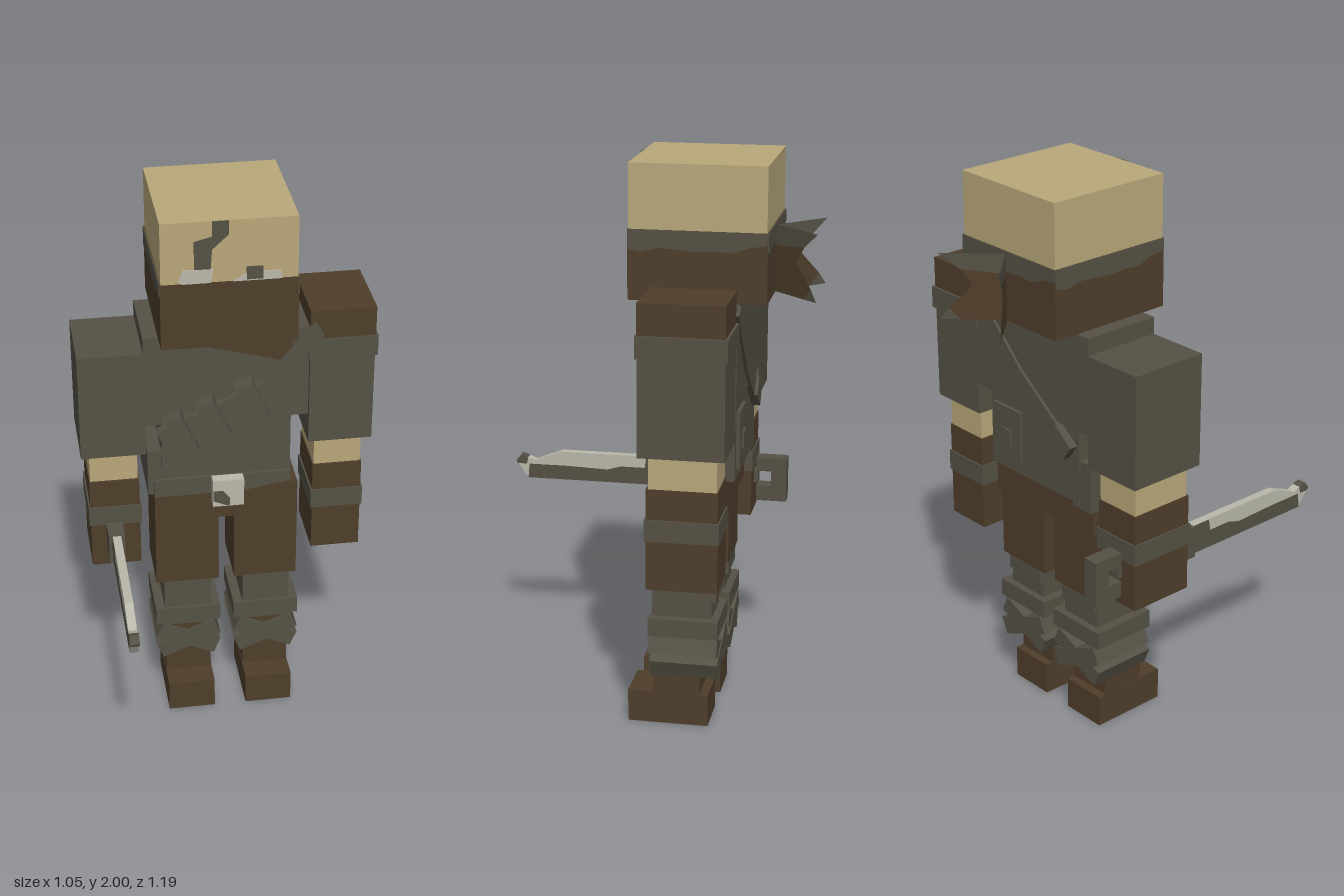
import * as THREE from 'three';

const paint = (name, color) => {
  const m = new THREE.MeshStandardMaterial({ color });
  m.name = name;
  return m;
};

export function createModel() {
  const tan = paint('tan skin', 0xb9a87b);
  const brown = paint('brown leather', 0x4f3e2b);
  const grey = paint('grey cloth', 0x555145);
  const steel = paint('pale steel', 0xbab8aa);
  const brown2 = paint('brown ribbon', 0x4f3e2b);
  const grey2 = paint('grey ribbon', 0x555145);
  brown2.side = grey2.side = THREE.DoubleSide;

  const model = new THREE.Group();
  const add = (name, geo, mat, parent = model) => {
    const mesh = new THREE.Mesh(geo, mat);
    mesh.name = name;
    parent.add(mesh);
    return mesh;
  };
  // box from its limits
  const box = (name, mat, x0, x1, y0, y1, z0, z1) => {
    const m = add(name, new THREE.BoxGeometry(x1 - x0, y1 - y0, z1 - z0), mat);
    m.position.set((x0 + x1) / 2, (y0 + y1) / 2, (z0 + z1) / 2);
    return m;
  };
  const shapeOf = pts => new THREE.Shape(pts.map(p => new THREE.Vector2(...p)));
  // outline in x,y pushed out along z
  const slab = (name, mat, pts, z, depth, parent) => {
    const m = add(name, new THREE.ExtrudeGeometry(shapeOf(pts), { depth, bevelEnabled: false }), mat, parent);
    m.position.z = z;
    return m;
  };
  const rect = (x0, x1, y0, y1) => [[x0, y0], [x1, y0], [x1, y1], [x0, y1]];

  // head and mask
  box('head', tan, -0.242, 0.219, 1.77, 2, -0.432, 0.032);
  box('mask', brown, -0.245, 0.222, 1.54, 1.78, -0.435, 0.035);
  const wave = [[-0.234, 1.78], [-0.234, 1.715], [-0.19, 1.705], [-0.13, 1.72], [-0.06, 1.715], [0, 1.71],
    [0.06, 1.715], [0.12, 1.71], [0.17, 1.73], [0.234, 1.74], [0.234, 1.78]];
  [[0.222, -0.2, Math.PI / 2], [-0.245, -0.2, -Math.PI / 2], [-0.0115, -0.435, Math.PI]].forEach(([x, z, a]) => {
    const pivot = new THREE.Group();
    pivot.name = 'maskTrim';
    pivot.position.set(x, 0, z);
    pivot.rotation.y = a;
    model.add(pivot);
    slab('maskTrimPlate', grey, wave, 0, 0.003, pivot);
  });

  // face details
  slab('browMark', grey, [[-0.13, 1.83], [-0.075, 1.83], [-0.07, 1.9], [-0.015, 1.95], [-0.015, 2],
    [-0.07, 2], [-0.07, 1.945], [-0.13, 1.93]], 0.032, 0.004);
  slab('rightEye', steel, [[-0.185, 1.79], [-0.17, 1.78], [-0.075, 1.78], [-0.065, 1.83], [-0.17, 1.83]], 0.033, 0.004);
  slab('leftEye', steel, [[0, 1.78], [0.165, 1.78], [0.16, 1.81], [0.05, 1.81]], 0.033, 0.004);
  slab('leftPupil', grey, rect(0.045, 0.1, 1.785, 1.83), 0.033, 0.006);

  // knotted mask tails, spread in a V
  [-1, 1].forEach(s => {
    const tail = new THREE.Group();
    tail.name = 'maskTail';
    tail.position.set(0, 0, -0.435);
    tail.rotation.y = s > 0 ? Math.PI / 4 : Math.PI * 3 / 4;
    model.add(tail);
    add('tailCloth', new THREE.ShapeGeometry(shapeOf(
      [[0, 1.54], [0.15, 1.54], [0.19, 1.58], [0.11, 1.66], [0.15, 1.715], [0, 1.7]])), brown2, tail);
    add('tailTop', new THREE.ShapeGeometry(shapeOf([[0, 1.7], [0.15, 1.715], [0.22, 1.77], [0, 1.77]])), grey2, tail);
    add('tailTip', new THREE.ShapeGeometry(shapeOf([[0.15, 1.54], [0.22, 1.54], [0.19, 1.58]])), grey2, tail);
  });

  // torso, cape and collar
  box('torso', grey, -0.24, 0.22, 0.92, 1.5, -0.335, -0.06);
  box('shoulderCape', grey, -0.298, 0.28, 1.195, 1.54, -0.345, -0.055);
  slab('collarOpening', brown, [[-0.24, 1.54], [0.22, 1.41], [0.22, 1.54]], -0.056, 0.005);
  box('hipFlap', grey, -0.29, -0.2, 0.9, 1.08, -0.33, -0.07);

  // bandolier with pouches
  slab('frontStrap', grey, [[0.1, 1.33], [0.14, 1.31], [0.33, 1.51], [0.3, 1.56], [0.26, 1.52]], -0.06, 0.018);
  const bandolier = new THREE.Group();
  bandolier.name = 'bandolier';
  bandolier.position.set(-0.05, 1.225, 0);
  bandolier.rotation.z = 0.42;
  model.add(bandolier);
  slab('pouchStrap', grey, rect(-0.21, 0.21, -0.045, 0.045), -0.06, 0.035, bandolier);
  [-0.135, -0.01, 0.14].forEach(x => slab('pouch', grey, rect(x - 0.032, x + 0.032, -0.082, 0.082), -0.06, 0.065, bandolier));
  slab('backStrap', grey, [[0.25, 1.54], [0.31, 1.52], [0.09, 1.28], [-0.14, 1.11], [-0.19, 1.16], [0.04, 1.33]], -0.355, 0.02);
  const clasp = box('strapClasp', grey, -0.22, -0.12, 1.1, 1.17, -0.365, -0.33);
  clasp.rotation.z = 0.65;
  box('backPouch', grey, 0.055, 0.195, 0.96, 1.16, -0.348, -0.3);
  box('backPouchButton', grey, 0.1, 0.15, 1.02, 1.08, -0.356, -0.34);

  // belt and hips
  box('hips', brown, -0.268, 0.243, 0.79, 0.925, -0.3, -0.055);
  slab('belt', grey, [[-0.27, 0.9], [0.05, 0.9], [0.22, 0.93], [0.22, 0.97], [-0.27, 0.97]], -0.06, 0.012);
  box('buckle', steel, -0.065, 0.047, 0.865, 0.972, -0.05, -0.01);
  slab('buckleStain', grey, [[-0.064, 0.89], [-0.02, 0.87], [-0.005, 0.87], [-0.005, 0.9], [-0.03, 0.93], [-0.064, 0.93]], -0.011, 0.003);

  // arms
  box('rightSleeve', grey, -0.525, -0.295, 1.08, 1.48, -0.345, -0.055);
  box('leftSleeve', grey, 0.283, 0.512, 1.08, 1.43, -0.343, -0.053);
  box('leftSleeveBand', grey, 0.275, 0.521, 1.415, 1.492, -0.352, -0.047);
  box('leftShoulder', brown, 0.282, 0.513, 1.49, 1.6, -0.343, -0.053);
  [-0.41, 0.396].forEach(x => {
    box('forearm', tan, x - 0.085, x + 0.085, 0.96, 1.09, -0.315, -0.085);
    box('glove', brown, x - 0.089, x + 0.089, 0.612, 0.965, -0.319, -0.077);
    box('wristBand', grey, x - 0.095, x + 0.095, 0.785, 0.86, -0.324, -0.072);
  });

  // legs
  [-0.155, 0.132].forEach((x, i) => {
    const c = i ? 0.134 : -0.156;
    box('trouserLeg', brown, x - 0.115, x + 0.115, 0.525, 0.92, -0.278, -0.05);
    box('legWrap', grey, c - 0.086, c + 0.086, 0.33, 0.526, -0.26, -0.05);
    box('calfWrap', grey, c - 0.084, c + 0.084, 0.47, 0.526, -0.275, -0.06);
    box('kneeBand', grey, c - 0.12, c + 0.12, 0.345, 0.41, -0.286, -0.04);
    [-1, 1].forEach(s => {
      const band = box('crossBand', grey, c - 0.117, c + 0.117, 0.231, 0.297, -0.285 + s * 0.002, -0.042 + s * 0.002);
      band.rotation.z = s * 0.4;
    });
    box('ankle', brown, c - 0.084, c + 0.084, 0.1, 0.34, -0.22, -0.052);
    box('boot', brown, c - 0.086, c + 0.086, 0, 0.118, -0.25, 0.037);
  });

  // blade held in the right hand: profile runs forward along z
  const sword = new THREE.Group();
  sword.name = 'sword';
  sword.position.x = -0.415;
  sword.rotation.y = -Math.PI / 2;
  model.add(sword);
  const part = (name, mat, pts, w) => slab(name, mat, pts, -w / 2, w, sword);
  part('bladeBack', steel, [[0, 0.735], [0.09, 0.735], [0.1, 0.745], [0.19, 0.745], [0.24, 0.73], [0.4, 0.735],
    [0.545, 0.735], [0.55, 0.68], [0.595, 0.745], [0.575, 0.77], [0.52, 0.75], [0.42, 0.79], [0, 0.79]], 0.03);
  part('bladeEdge', grey, [[0, 0.68], [0.55, 0.68], [0.545, 0.735], [0.4, 0.735], [0.24, 0.73], [0.19, 0.745],
    [0.1, 0.745], [0.09, 0.735], [0, 0.735]], 0.03);
  part('bladeStain', grey, [[0.01, 0.73], [0.1, 0.73], [0.09, 0.788], [0.01, 0.788]], 0.034);
  part('bladeTip', grey, [[0.555, 0.735], [0.59, 0.735], [0.596, 0.746], [0.576, 0.771], [0.55, 0.761]], 0.033);
  part('guard', grey, rect(-0.09, 0.014, 0.676, 0.791), 0.058);
  part('grip', grey, rect(-0.335, -0.05, 0.715, 0.765), 0.04);
  part('pommel', grey, [[-0.442, 0.65], [-0.33, 0.65], [-0.33, 0.708], [-0.385, 0.708], [-0.385, 0.765],
    [-0.33, 0.765], [-0.33, 0.815], [-0.442, 0.815]], 0.058);

  return model;
}
